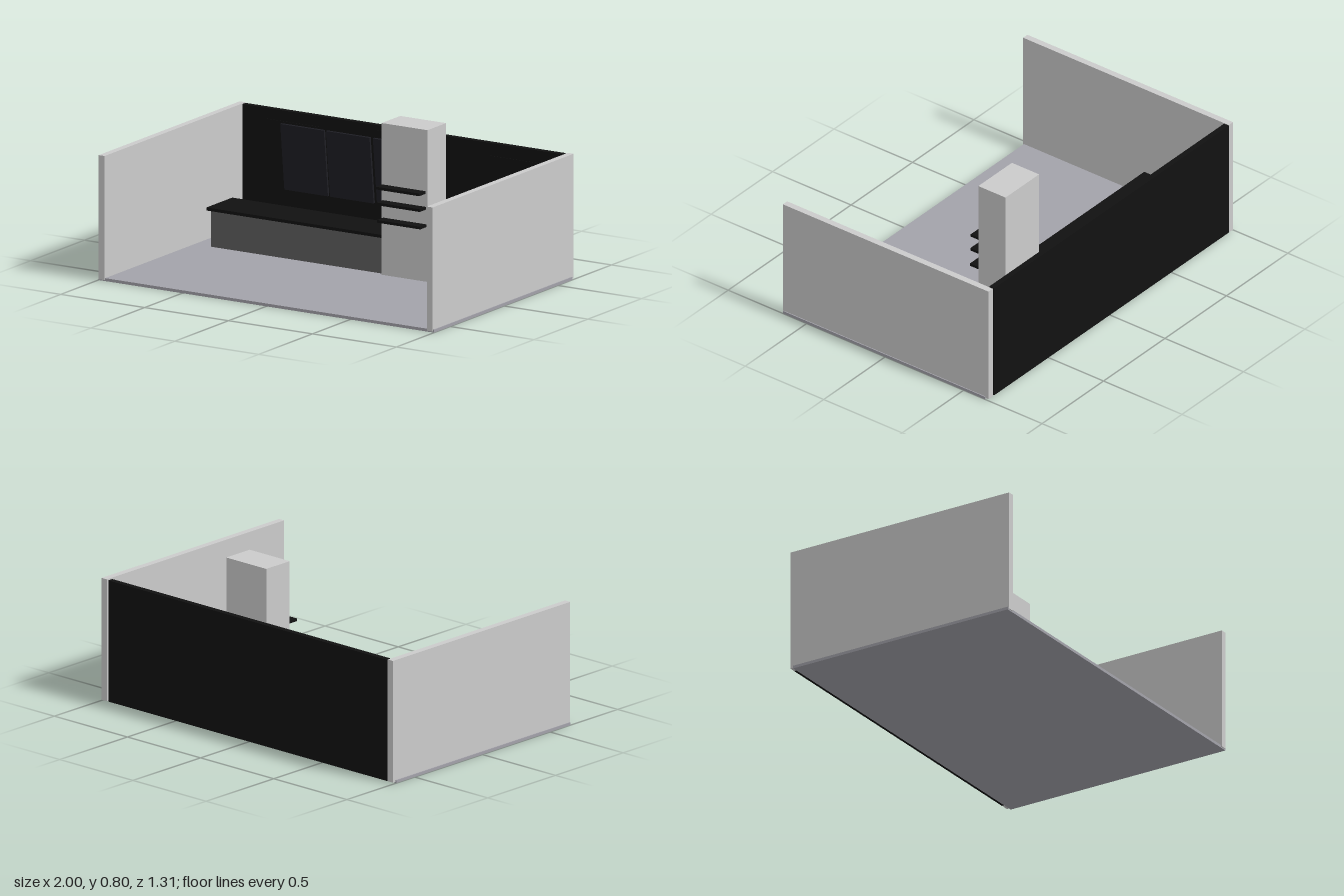
import * as THREE from 'three';

const grey = new THREE.MeshStandardMaterial({ color: 0xcccccc });
const floorGrey = new THREE.MeshStandardMaterial({ color: 0xa3a2aa });
const darkGrey = new THREE.MeshStandardMaterial({ color: 0x5e5e5e });
const black = new THREE.MeshStandardMaterial({ color: 0x111111 });
const glass = new THREE.MeshStandardMaterial({ color: 0x1e1e24 });

// Box given by its extents along each axis
function box(name, material, [x0, x1], [y0, y1], [z0, z1]) {
  const mesh = new THREE.Mesh(new THREE.BoxGeometry(x1 - x0, y1 - y0, z1 - z0), material);
  mesh.position.set((x0 + x1) / 2, (y0 + y1) / 2, (z0 + z1) / 2);
  mesh.name = name;
  return mesh;
}

export function createModel() {
  const room = new THREE.Group();
  room.name = 'room';

  // Shell: floor, two side walls and the back wall
  room.add(box('floor', floorGrey, [-1, 1], [0, 0.015], [-0.635, 0.65]));
  room.add(box('leftWall', grey, [0.96, 0.995], [0.006, 0.648], [-0.655, 0.655]));
  room.add(box('rightWall', grey, [-0.995, -0.96], [0.006, 0.648], [-0.655, 0.655]));
  room.add(box('backWall', black, [-0.96, 0.95], [0.006, 0.645], [-0.655, -0.625]));

  // Thin flush panels on the back wall
  const panels = [
    [[-0.82, -0.49], [0.32, 0.59]],
    [[-0.16, 0.17], [0.22, 0.62]],
    [[0.52, 0.85], [0.40, 0.58]],
    [[0.55, 0.88], [0.14, 0.32]],
  ];
  for (const [x, y] of panels) room.add(box('wallPanel', black, x, y, [-0.626, -0.622]));

  // Three screens leaning forward at the top
  for (const x of [-0.572, -0.3, -0.02]) {
    const screen = box('screen', glass, [x - 0.13, x + 0.13], [0.24, 0.59], [-0.606, -0.594]);
    screen.rotation.x = 0.11;
    room.add(screen);
  }

  // Counter with overhanging top
  room.add(box('counterBody', darkGrey, [-0.86, 0.17], [0.015, 0.2], [-0.39, -0.18]));
  room.add(box('counterTop', black, [-0.885, 0.175], [0.2, 0.216], [-0.415, -0.175]));

  // Pillar with three shelves on its front
  room.add(box('pillar', grey, [0.17, 0.443], [0.012, 0.8], [-0.331, -0.158]));
  [0.305, 0.395, 0.476].forEach((y, i) => {
    const x = 0.18 - 0.003 * i;
    room.add(box('shelf', black, [x, x + 0.257], [y - 0.007, y + 0.007], [-0.165, -0.1]));
  });

  return room;
}
